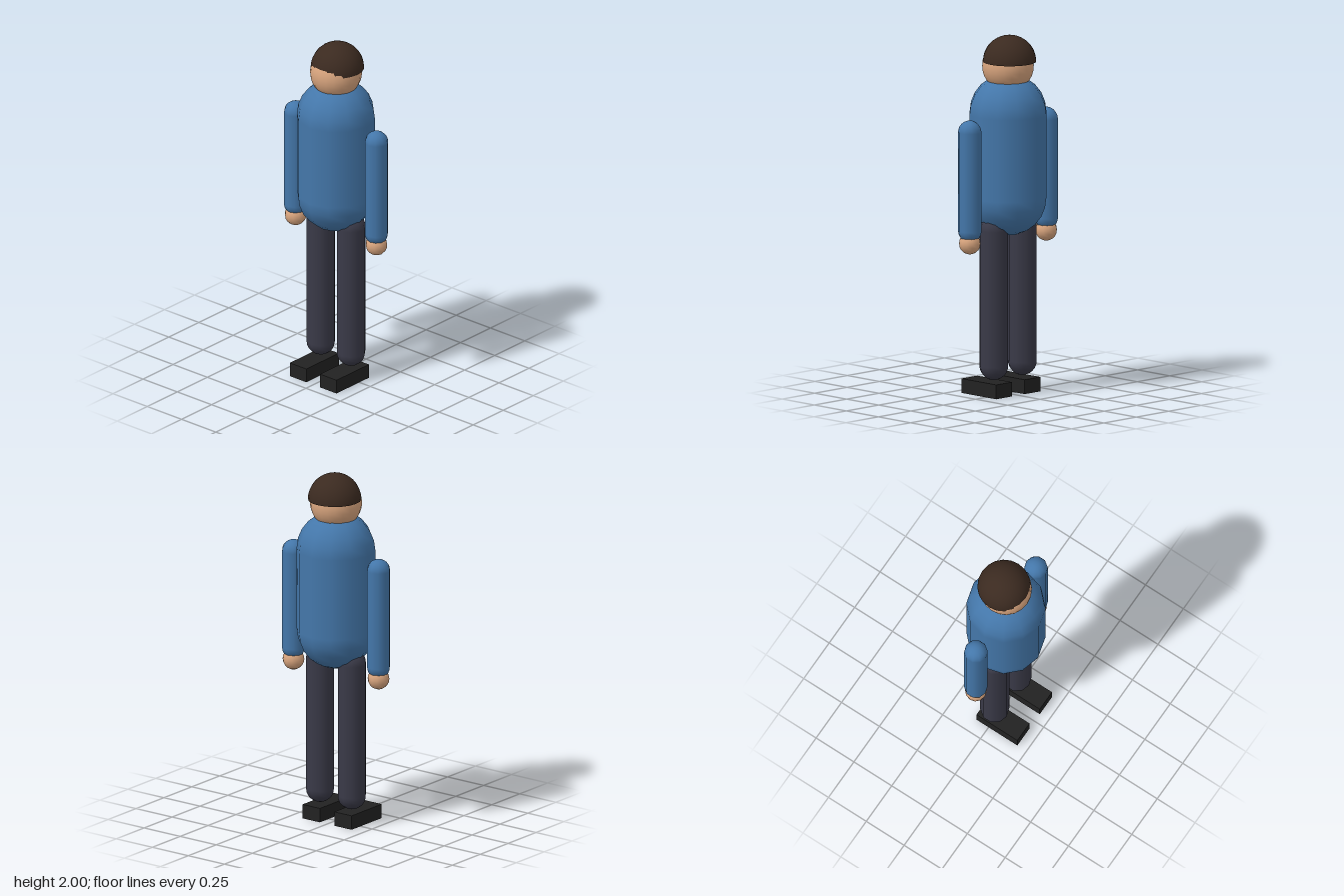
import * as THREE from 'three';

function mat(name, color) {
  const m = new THREE.MeshStandardMaterial({ color });
  m.name = name;
  return m;
}

export function createModel() {
  const shirt = mat('blue shirt', 0x4477aa);
  const skin = mat('skin', 0xd9a57e);
  const hairMat = mat('dark brown hair', 0x3b2a20);
  hairMat.side = THREE.DoubleSide; // open shell
  const trousers = mat('charcoal trousers', 0x3a3a48);
  const shoe = mat('black shoe', 0x222222);

  const model = new THREE.Group();
  model.name = 'standingFigure';

  const add = (name, geometry, material, x, y, z = 0) => {
    const mesh = new THREE.Mesh(geometry, material);
    mesh.name = name;
    mesh.position.set(x, y, z);
    model.add(mesh);
  };

  // Upright capsule between two heights, with a corner facing front
  const capsule = (name, r, bottom, top, sides, material, x) => {
    const g = new THREE.CapsuleGeometry(r, top - bottom - 2 * r, 6, sides);
    g.rotateY(Math.PI / 2);
    add(name, g, material, x, (top + bottom) / 2);
  };

  // Torso and head
  capsule('torso', 0.218, 0.885, 1.78, 12, shirt, 0);
  add('head', new THREE.SphereGeometry(0.143, 20, 16), skin, 0, 1.83);

  // Half-dome of hair, set slightly back so the forehead shows
  const hair = new THREE.SphereGeometry(0.147, 20, 12, 0, Math.PI * 2, 0, Math.PI / 2);
  add('hair', hair, hairMat, 0, 1.853, -0.012);

  // Limbs, mirrored
  for (const [side, s] of [['left', 1], ['right', -1]]) {
    capsule(side + 'Arm', 0.065, 0.88, 1.56, 10, shirt, s * 0.295);
    add(side + 'Hand', new THREE.SphereGeometry(0.06, 12, 10), skin, s * 0.295, 0.875);
    capsule(side + 'Leg', 0.08, 0.09, 1.005, 10, trousers, s * 0.11);
    add(side + 'Shoe', new THREE.BoxGeometry(0.12, 0.08, 0.27), shoe, s * 0.11, 0.04, 0.055);
  }

  return model;
}
